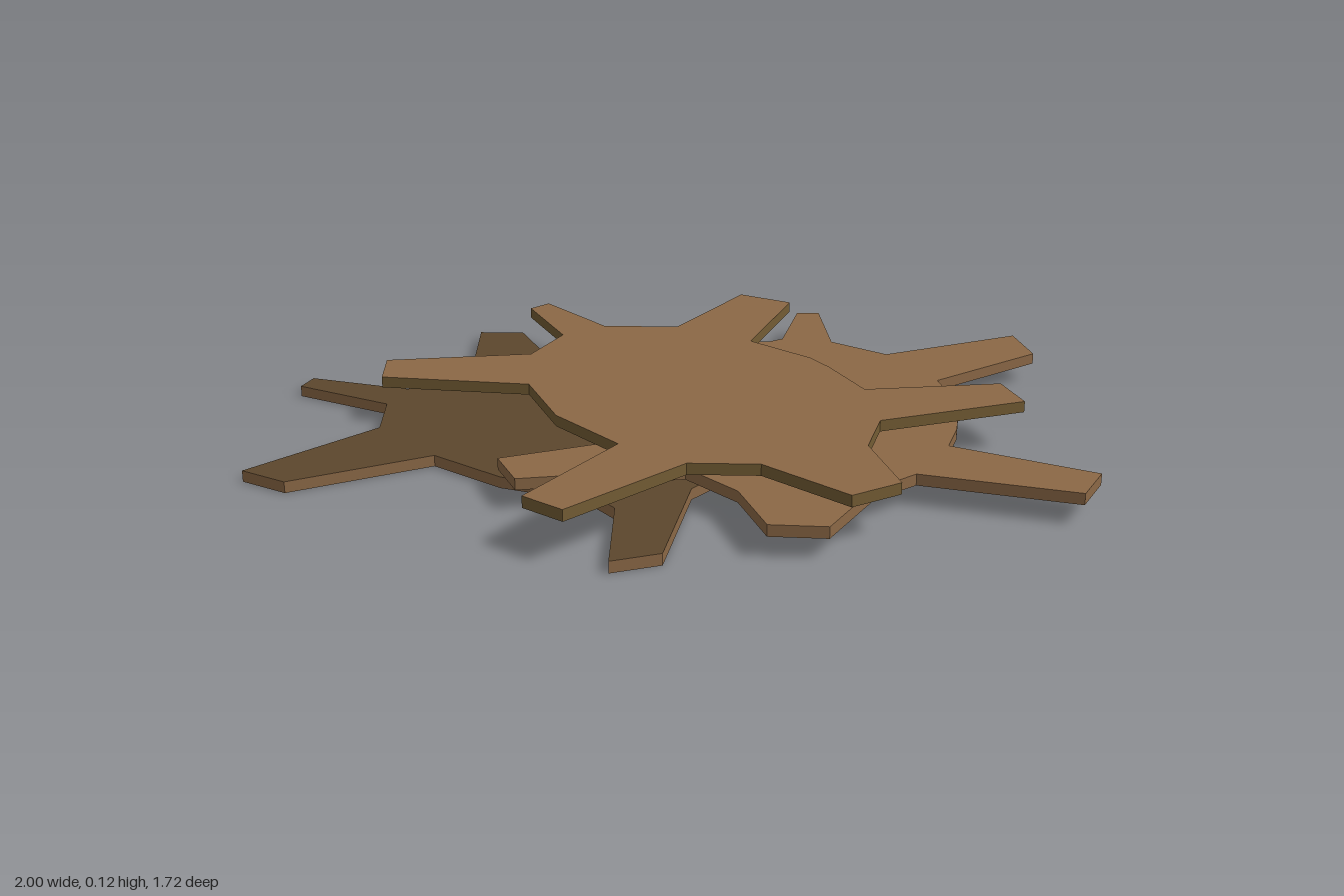
import * as THREE from 'three';

const brown = new THREE.MeshStandardMaterial({ color: 0x8b6846 });
brown.name = 'brown';
const darkBrown = new THREE.MeshStandardMaterial({ color: 0x5c472d });
darkBrown.name = 'darkBrown';
const oliveBrown = new THREE.MeshStandardMaterial({ color: 0x735c34 });
oliveBrown.name = 'oliveBrown';

const THICKNESS = 0.026;
const SPACING = 0.045;

// Outlines as [x, z] corners, each a ragged disc with six blunt arms
const bottomOutline = [
  [-0.18, -0.86], [-0.08, -0.805], [-0.11, -0.45], [0.05, -0.28], [0.13, -0.155],
  [0.51, -0.155], [0.52, -0.04], [0.19, 0.09], [0.14, 0.22],
  [0.18, 0.46], [0.085, 0.52], [-0.08, 0.33], [-0.17, 0.37],
  [-0.37, 0.635], [-0.48, 0.62], [-0.36, 0.39], [-0.38, 0.27], [-0.51, 0.125],
  [-0.595, -0.06], [-0.935, -0.06], [-1, -0.165], [-0.65, -0.285], [-0.585, -0.43],
  [-0.735, -0.65], [-0.69, -0.695], [-0.505, -0.51], [-0.33, -0.54],
];
const middleOutline = [
  [0.02, -0.57], [0.07, -0.62], [0.2, -0.42], [0.41, -0.315], [0.45, -0.32],
  [0.6, -0.5], [0.65, -0.47], [0.55, -0.24], [0.62, -0.09],
  [1, -0.07], [0.955, 0.075], [0.62, 0.135], [0.575, 0.29], [0.47, 0.43], [0.395, 0.505],
  [0.59, 0.785], [0.49, 0.855], [0.24, 0.61], [0.12, 0.635],
  [-0.065, 0.76], [-0.17, 0.695], [-0.14, 0.52], [-0.18, 0.36],
  [-0.525, 0.25], [-0.515, 0.125], [-0.14, 0.16], [-0.11, -0.04], [0.04, -0.25],
];
const topOutline = [
  [-0.085, -0.73], [-0.025, -0.75], [0.025, -0.5], [0.19, -0.41],
  [0.475, -0.59], [0.555, -0.465], [0.3, -0.22], [0.365, -0.04], [0.37, 0.04], [0.36, 0.215],
  [0.665, 0.325], [0.64, 0.45], [0.28, 0.405], [0.175, 0.52],
  [0.125, 0.725], [0, 0.735], [-0.08, 0.51], [-0.215, 0.435],
  [-0.54, 0.54], [-0.585, 0.44], [-0.295, 0.27], [-0.345, 0.05], [-0.32, -0.17],
  [-0.61, -0.375], [-0.56, -0.49], [-0.23, -0.375], [-0.1, -0.48],
];

// A flat slab with one colour on its faces and one on its rim
function slab(name, outline, level, face, rim) {
  const shape = new THREE.Shape(outline.map(([x, z]) => new THREE.Vector2(x, -z)));
  const geometry = new THREE.ExtrudeGeometry(shape, { depth: THICKNESS, bevelEnabled: false });
  geometry.rotateX(-Math.PI / 2);
  const mesh = new THREE.Mesh(geometry, [face, rim]);
  mesh.name = name;
  mesh.position.y = level * SPACING;
  return mesh;
}

export function createModel() {
  const model = new THREE.Group();
  model.name = 'stackedSplats';
  model.add(
    slab('bottomSplat', bottomOutline, 0, darkBrown, brown),
    slab('middleSplat', middleOutline, 1, brown, brown),
    slab('topSplat', topOutline, 2, brown, oliveBrown),
  );
  return model;
}
